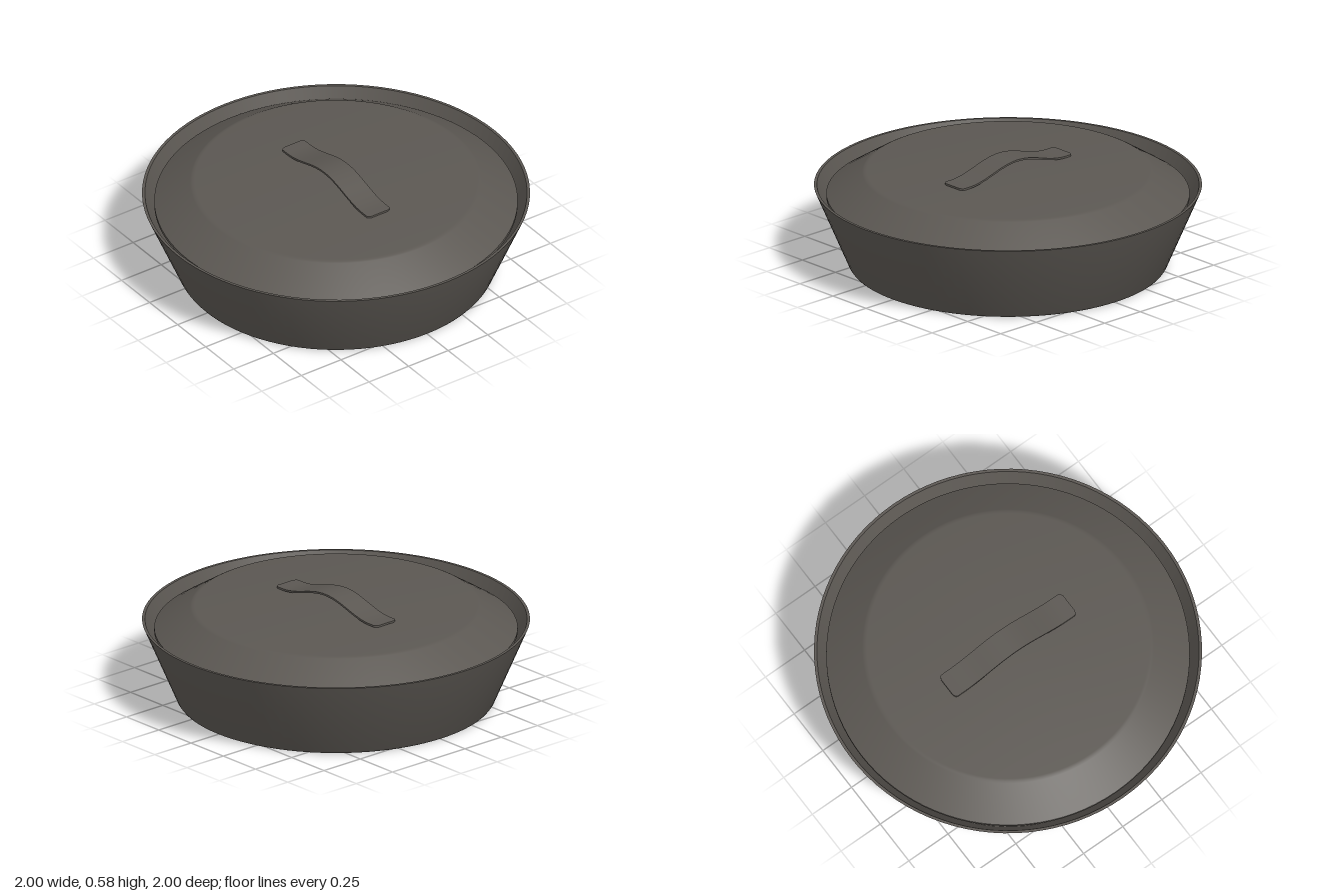
import * as THREE from 'three';
import { toCreasedNormals } from 'three/addons/utils/BufferGeometryUtils.js';

const iron = new THREE.MeshStandardMaterial({ name: 'darkIron', color: 0x5b5752 });

// Round part turned from a profile of [radius, height] points
function turned(name, profile) {
  const lathe = new THREE.LatheGeometry(profile.map(([r, y]) => new THREE.Vector2(r, y)), 96);
  const mesh = new THREE.Mesh(toCreasedNormals(lathe, 0.7), iron);
  mesh.name = name;
  return mesh;
}

// Flat strip with rounded corners, bowed upwards in the middle
function bowedHandle() {
  const halfLength = 0.39, corner = 0.02;
  const geometry = new THREE.BoxGeometry(halfLength * 2, 0.01, 0.144, 96, 1, 1);
  const pos = geometry.attributes.position;
  for (let i = 0; i < pos.count; i++) {
    const x = Math.abs(pos.getX(i));
    const into = Math.max(0, x - (halfLength - corner));
    const inset = corner - Math.sqrt(Math.max(0, corner * corner - into * into));
    const z = pos.getZ(i);
    pos.setZ(i, Math.sign(z) * (Math.abs(z) - inset));
    const rise = x < 0.34 ? 0.0325 * (1 + Math.cos(Math.PI * x / 0.34)) : 0;
    pos.setY(i, pos.getY(i) + 0.514 + rise);
  }
  geometry.computeVertexNormals();
  const mesh = new THREE.Mesh(geometry, iron);
  mesh.name = 'lidHandle';
  return mesh;
}

export function createModel() {
  const group = new THREE.Group();
  group.name = 'coveredPan';

  // Flared pan with a thin rim and a hollow inside
  group.add(turned('pan', [
    [0, 0], [0.808, 0], [0.816, 0.004], [0.825, 0.016], [1, 0.43],
    [0.985, 0.43], [0.815, 0.02], [0, 0.02],
  ]));

  // Lid sitting inside the rim, sloping up to a flat top
  group.add(turned('lid', [
    [0, 0.485], [0.735, 0.485], [0.925, 0.366], [0.937, 0.366], [0.937, 0.382],
    [0.752, 0.499], [0.742, 0.504], [0.728, 0.506], [0, 0.506],
  ]));

  group.add(bowedHandle());
  return group;
}
